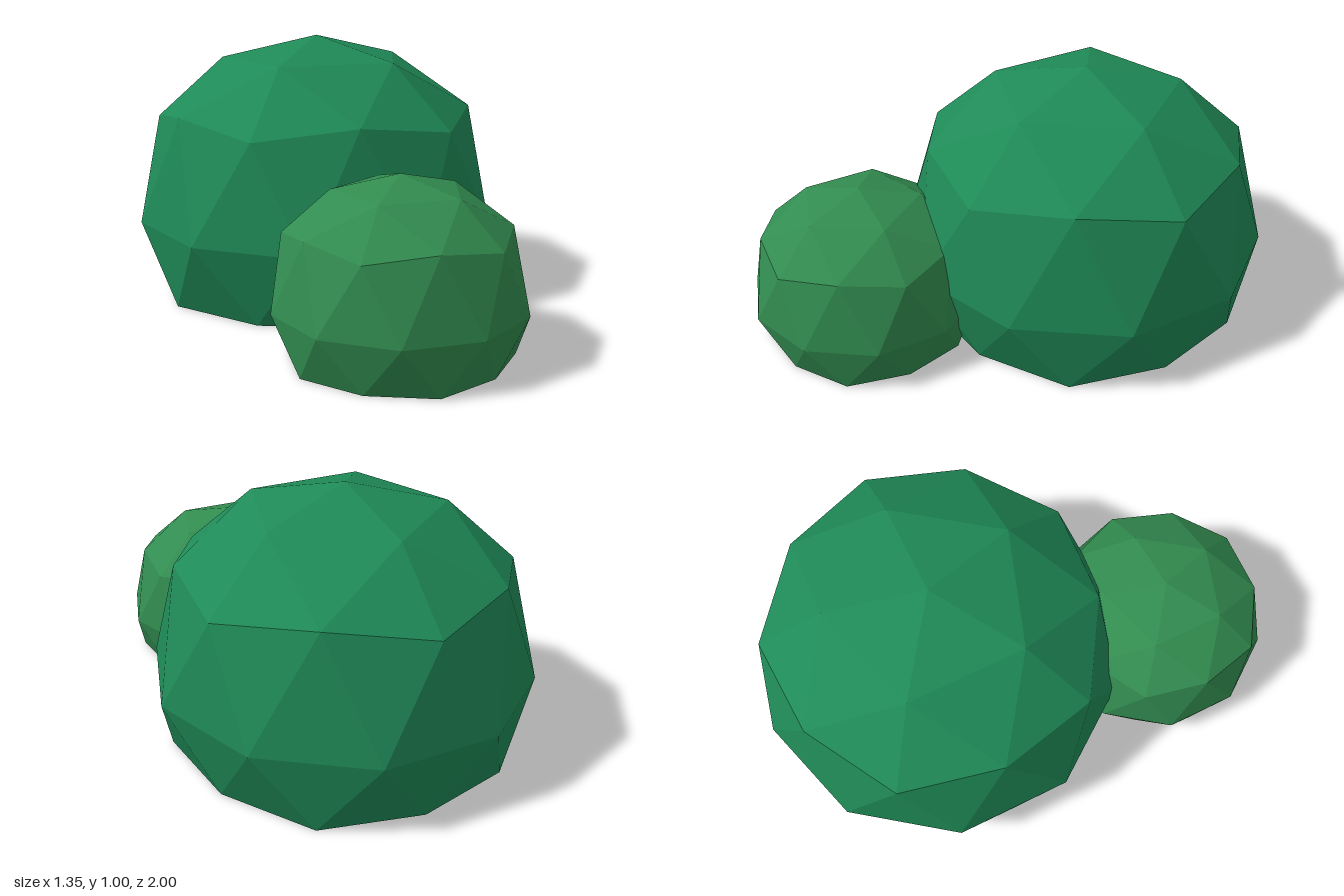
import * as THREE from 'three';

// Faceted dome: an icosphere standing on a corner, flattened at the ground.
function makeBush(name, color, size, x, z) {
  const geo = new THREE.IcosahedronGeometry(1, 1);
  geo.rotateZ(-Math.atan(2 / (1 + Math.sqrt(5)))); // corner to the top, next ring towards +x
  const pos = geo.attributes.position;
  for (let i = 0; i < pos.count; i++) {
    const t = pos.getY(i);
    // raised upper rings, low widest ring, flat base
    const y = t > 0.1 ? 0.415 + 0.585 * t : t > -0.1 ? 0.29 : 0;
    pos.setXYZ(i, pos.getX(i) * 0.71, y, pos.getZ(i) * 0.71);
  }
  geo.scale(size, size, size);
  geo.computeVertexNormals();
  const bush = new THREE.Mesh(geo, new THREE.MeshStandardMaterial({ color, flatShading: true }));
  bush.name = name;
  bush.position.set(x, 0, z);
  return bush;
}

export function createModel() {
  const group = new THREE.Group();
  group.name = 'bushes';
  group.add(makeBush('largeBush', 0x1f8a57, 1, 0, -0.29));
  group.add(makeBush('smallBush', 0x328c50, 0.62, -0.22, 0.56));
  return group;
}
